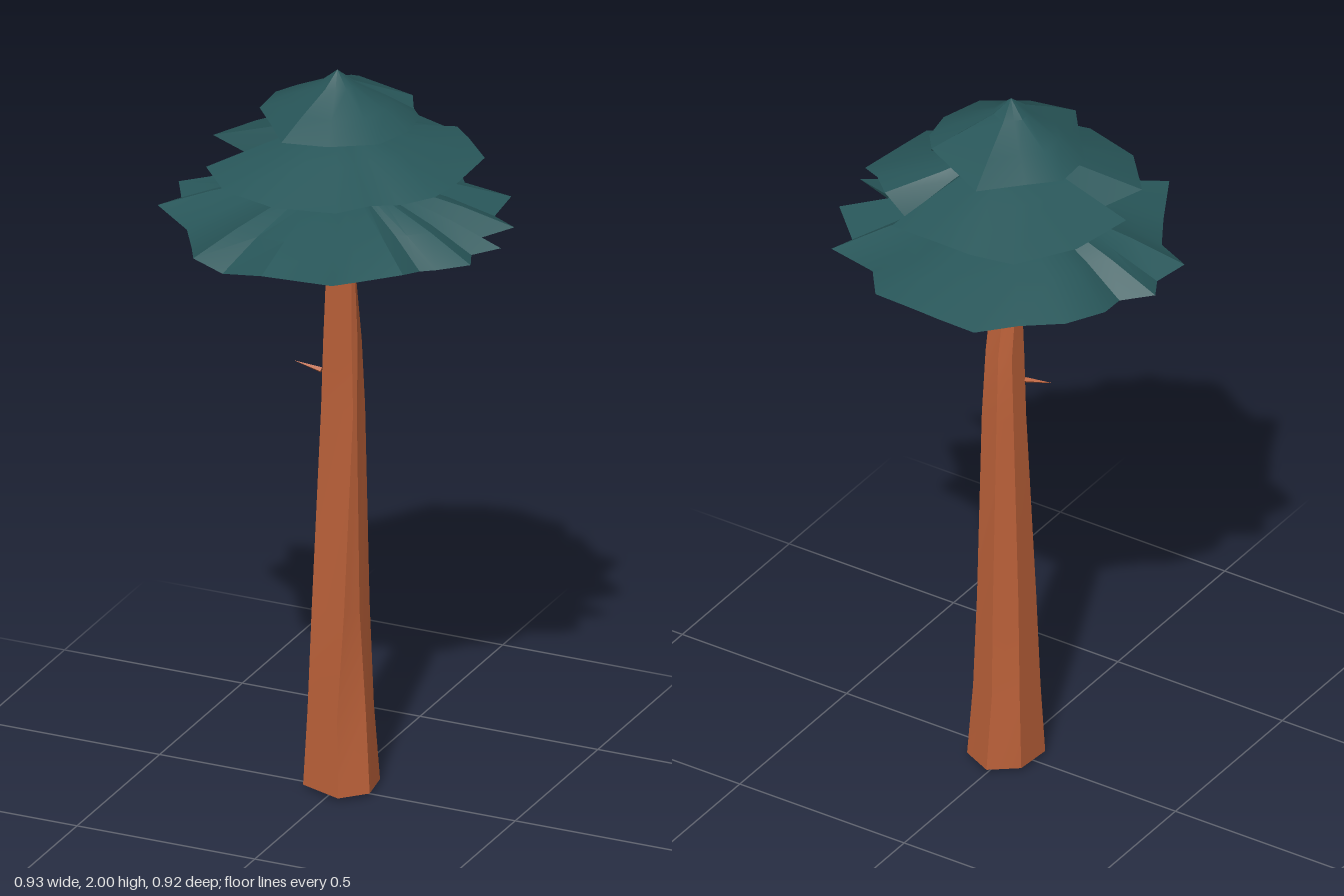
import * as THREE from 'three';
import { toCreasedNormals } from 'three/addons/utils/BufferGeometryUtils.js';

const foliage = new THREE.MeshStandardMaterial({ color: 0x285659 });
const bark = new THREE.MeshStandardMaterial({ color: 0xb85f38 });
const shadedBark = new THREE.MeshStandardMaterial({ color: 0x74401f });
foliage.name = 'dark teal foliage';
bark.name = 'orange bark';
shadedBark.name = 'brown underside';

// Joins cross-sections (counter-clockwise seen from above, listed bottom to top)
function loft(rings, crease) {
  const pos = [];
  const tri = (a, b, c) => {
    const area = b.clone().sub(a).cross(c.clone().sub(a)).length();
    if (area > 1e-7) for (const p of [a, b, c]) pos.push(p.x, p.y, p.z);
  };
  for (let r = 0; r < rings.length - 1; r++) {
    const lo = rings[r], hi = rings[r + 1], n = lo.length;
    for (let i = 0; i < n; i++) {
      const j = (i + 1) % n;
      tri(lo[i], lo[j], hi[j]);
      tri(lo[i], hi[j], hi[i]);
    }
  }
  const geometry = new THREE.BufferGeometry();
  geometry.setAttribute('position', new THREE.Float32BufferAttribute(pos, 3));
  return toCreasedNormals(geometry, crease);
}

function mesh(name, geometry, material) {
  const m = new THREE.Mesh(geometry, material);
  m.name = name;
  return m;
}

// Outlines are [x, z, optional lift]
const lowerOutline = [
  [-0.08, -0.46, 0.02], [0, -0.455, 0.02], [0.12, -0.45, 0.02], [0.2, -0.34], [0.345, -0.31],
  [0.34, -0.22, -0.02], [0.435, -0.135], [0.33, -0.01, -0.02], [0.46, 0], [0.4, 0.05, -0.01],
  [0.435, 0.13], [0.36, 0.175, -0.01], [0.315, 0.18, -0.02], [0.305, 0.26], [0.21, 0.33, -0.01],
  [0.17, 0.4], [0, 0.46, 0.02], [-0.135, 0.405, -0.02], [-0.215, 0.41, 0.01], [-0.275, 0.29, -0.02],
  [-0.335, 0.19, -0.02], [-0.45, 0.12], [-0.425, 0.03, -0.01], [-0.465, -0.04], [-0.385, -0.085, -0.02],
  [-0.4, -0.175], [-0.345, -0.275], [-0.25, -0.35], [-0.18, -0.45, 0.01],
];
const middleOutline = [
  [0, -0.355, 0.02], [0.15, -0.33], [0.16, -0.25, -0.02], [0.215, -0.26, 0.04], [0.27, -0.21, 0.04],
  [0.34, -0.16, 0.015], [0.33, 0], [0.315, 0.09], [0.25, 0.15, -0.01], [0.19, 0.21], [0.13, 0.29],
  [-0.03, 0.325], [-0.19, 0.28], [-0.295, 0.16], [-0.23, 0.018, -0.015], [-0.35, 0, 0.015],
  [-0.305, -0.16], [-0.21, -0.31], [-0.1, -0.345, 0.01],
];
const topOutline = [
  [-0.055, -0.25, 0.005], [0.135, -0.165, 0.02], [0.15, -0.14, -0.005], [0.19, -0.09], [0.205, 0],
  [0.17, 0.115], [0.06, 0.185], [-0.06, 0.21], [-0.13, 0.12], [-0.205, 0.03], [-0.21, -0.08], [-0.14, -0.15],
];

// Scaled copy of an outline at height y; lift fades towards the middle
const ringOf = (outline, scale, y) =>
  outline.map(([x, z, lift = 0]) => new THREE.Vector3(x * scale, y + lift * scale * scale, z * scale)).reverse();

// One section of a foliage tier, from [scale, height] steps
const tier = (outline, steps) => loft(steps.map(([s, y]) => ringOf(outline, s, y)), 0.5);

// Thin pointed branch stub
function branch(name, from, to, radius) {
  const a = new THREE.Vector3(...from), b = new THREE.Vector3(...to);
  const dir = b.clone().sub(a);
  const geometry = new THREE.ConeGeometry(radius, dir.length(), 4).toNonIndexed();
  geometry.computeVertexNormals();
  const m = mesh(name, geometry, bark);
  m.position.copy(a).add(b).multiplyScalar(0.5);
  m.quaternion.setFromUnitVectors(new THREE.Vector3(0, 1, 0), dir.normalize());
  return m;
}

export function createModel() {
  const tree = new THREE.Group();
  tree.name = 'conifer';

  // Six-sided trunk, flared at the foot and flattened at the top: height, then x, z pairs
  const sections = [
    [0.01, [-0.078, 0.04, 0.04, 0.083, 0.1, 0.02, 0.085, -0.075, 0, -0.115, -0.07, -0.06]],
    [0.22, [-0.07, 0.03, 0.025, 0.056, 0.08, 0, 0.07, -0.07, 0, -0.09, -0.062, -0.055]],
    [0.5, [-0.062, 0.022, 0.035, 0.036, 0.06, -0.005, 0.058, -0.07, 0, -0.085, -0.055, -0.05]],
    [1.05, [-0.046, 0, 0.044, 0, 0.05, -0.01, 0.05, -0.06, 0, -0.068, -0.04, -0.05]],
    [1.24, [-0.04, 0, 0.04, 0, 0.05, -0.015, 0.045, -0.05, 0, -0.06, -0.035, -0.05]],
    [1.43, [-0.032, 0, 0.04, 0, 0.045, -0.01, 0.04, -0.025, 0, -0.028, -0.03, -0.02]],
    [1.6, [-0.036, 0, 0.034, 0, 0.04, -0.006, 0.034, -0.015, 0, -0.018, -0.034, -0.012]],
  ];
  const rings = sections.map(([y, p]) =>
    Array.from({ length: 6 }, (_, i) => new THREE.Vector3(p[2 * i], y, p[2 * i + 1])));
  const foot = Array.from({ length: 6 }, () => new THREE.Vector3(0, 0, -0.01));
  tree.add(mesh('trunk', loft([foot, ...rings], 0.3), bark));

  // Branch stubs
  tree.add(branch('upperBranch', [0.045, 1.425, -0.002], [0.225, 1.535, 0.035], 0.013));
  tree.add(branch('lowerBranch', [-0.045, 1.155, 0], [-0.12, 1.17, 0.005], 0.008));

  // Lower tier with a brown band on its underside
  const lower = new THREE.Group();
  lower.name = 'lowerTier';
  lower.add(
    mesh('lowerTop', tier(lowerOutline, [[0.7, 1.54], [1, 1.587], [0.7, 1.638], [0.32, 1.69], [0, 1.71]]), foliage),
    mesh('lowerBand', tier(lowerOutline, [[0.4, 1.56], [0.7, 1.54]]), shadedBark),
    mesh('lowerCentre', tier(lowerOutline, [[0, 1.575], [0.4, 1.56]]), foliage),
  );
  tree.add(lower);

  // Middle and top tiers
  tree.add(mesh('middleTier', tier(middleOutline,
    [[0, 1.71], [0.6, 1.71], [1, 1.738], [0.55, 1.8], [0.25, 1.84], [0, 1.855]]), foliage));
  tree.add(mesh('topTier', tier(topOutline,
    [[0, 1.855], [0.75, 1.855], [1, 1.868], [0.65, 1.912], [0.22, 1.96], [0, 2]]), foliage));
  return tree;
}
